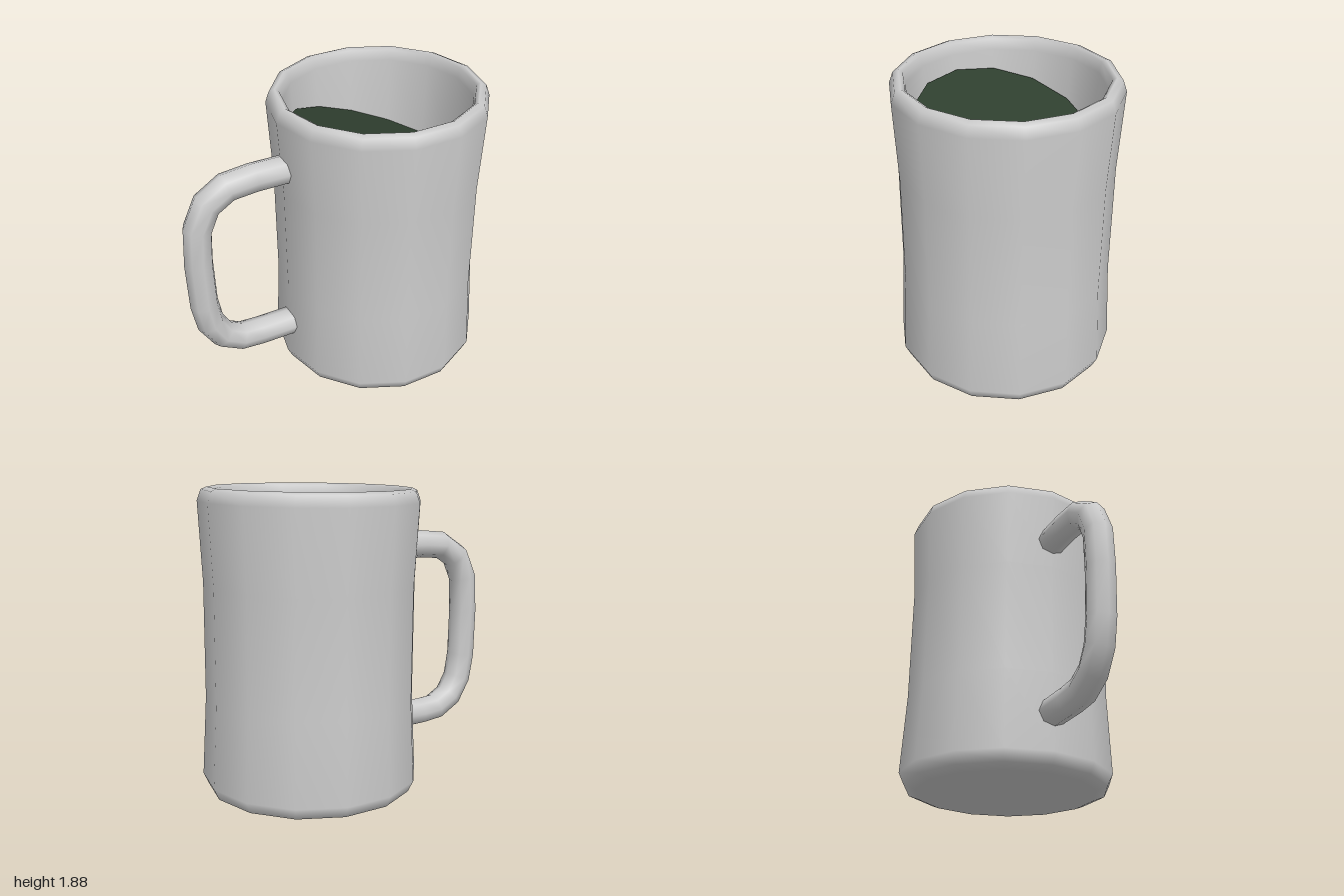
import * as THREE from 'three';

const SIDES = 14;
const grey = new THREE.MeshStandardMaterial({ color: 0xcccccc });
const dark = new THREE.MeshStandardMaterial({ color: 0x2e3e2e, side: THREE.DoubleSide });

// Waisted body with rounded foot and lip; the doubled point keeps the inner floor edge sharp
function makeBody() {
  const profile = [
    [0, 0], [0.575, 0], [0.64, 0.025], [0.673, 0.095],
    [0.647, 0.59], [0.647, 1.3], [0.673, 1.79], [0.65, 1.855], [0.615, 1.87],
    [0.59, 1.855], [0.578, 1.79], [0.55, 1.3], [0.55, 0.59], [0.57, 0.12], [0.57, 0.12], [0, 0.1],
  ].map(([r, y]) => new THREE.Vector2(r, y));
  return new THREE.Mesh(new THREE.LatheGeometry(profile, SIDES, Math.PI / 2), grey);
}

// Liquid surface, tilted so it stands higher on the handle side
function makeLiquid() {
  const geometry = new THREE.CircleGeometry(0.547, SIDES).rotateX(-Math.PI / 2);
  const pos = geometry.attributes.position;
  for (let i = 0; i < pos.count; i++) {
    pos.setY(i, 1.505 - 0.36 * pos.getX(i) + 0.02 * pos.getZ(i));
  }
  geometry.computeVertexNormals();
  return new THREE.Mesh(geometry, dark);
}

// Round bar swept along a path in the xy plane, one ring per path point
function makeHandle() {
  const path = [
    [-0.28, 1.482], [-0.53, 1.482], [-0.7, 1.465], [-0.83, 1.383], [-0.898, 1.235], [-0.91, 1],
    [-0.9, 0.695], [-0.87, 0.535], [-0.795, 0.413], [-0.675, 0.348], [-0.54, 0.338], [-0.28, 0.338],
  ].map(([x, y]) => new THREE.Vector2(x, y));
  const radius = 0.09, around = 8, positions = [], indices = [];
  path.forEach((p, i) => {
    const before = path[Math.max(i - 1, 0)], after = path[Math.min(i + 1, path.length - 1)];
    const a = p.clone().sub(before).normalize(), b = after.clone().sub(p).normalize();
    const t = a.add(b).normalize();
    for (let j = 0; j < around; j++) {
      const angle = (j / around) * Math.PI * 2;
      const out = radius * Math.cos(angle);
      positions.push(p.x + t.y * out, p.y - t.x * out, radius * Math.sin(angle));
      if (i === 0) continue;
      const k = (j + 1) % around, row = i * around, prev = row - around;
      indices.push(prev + j, row + j, prev + k, prev + k, row + j, row + k);
    }
  });
  const geometry = new THREE.BufferGeometry();
  geometry.setAttribute('position', new THREE.Float32BufferAttribute(positions, 3));
  geometry.setIndex(indices);
  geometry.computeVertexNormals();
  return new THREE.Mesh(geometry, grey);
}

export function createModel() {
  const model = new THREE.Group();
  model.name = 'mug';

  // The body leans very slightly towards the handle
  const cup = new THREE.Group();
  cup.name = 'cup';
  cup.position.set(0.327, 0.007, 0);
  cup.rotation.z = 0.012;
  const body = makeBody();
  body.name = 'body';
  const liquid = makeLiquid();
  liquid.name = 'liquid';
  cup.add(body, liquid);

  const handle = makeHandle();
  handle.name = 'handle';
  model.add(cup, handle);
  return model;
}
